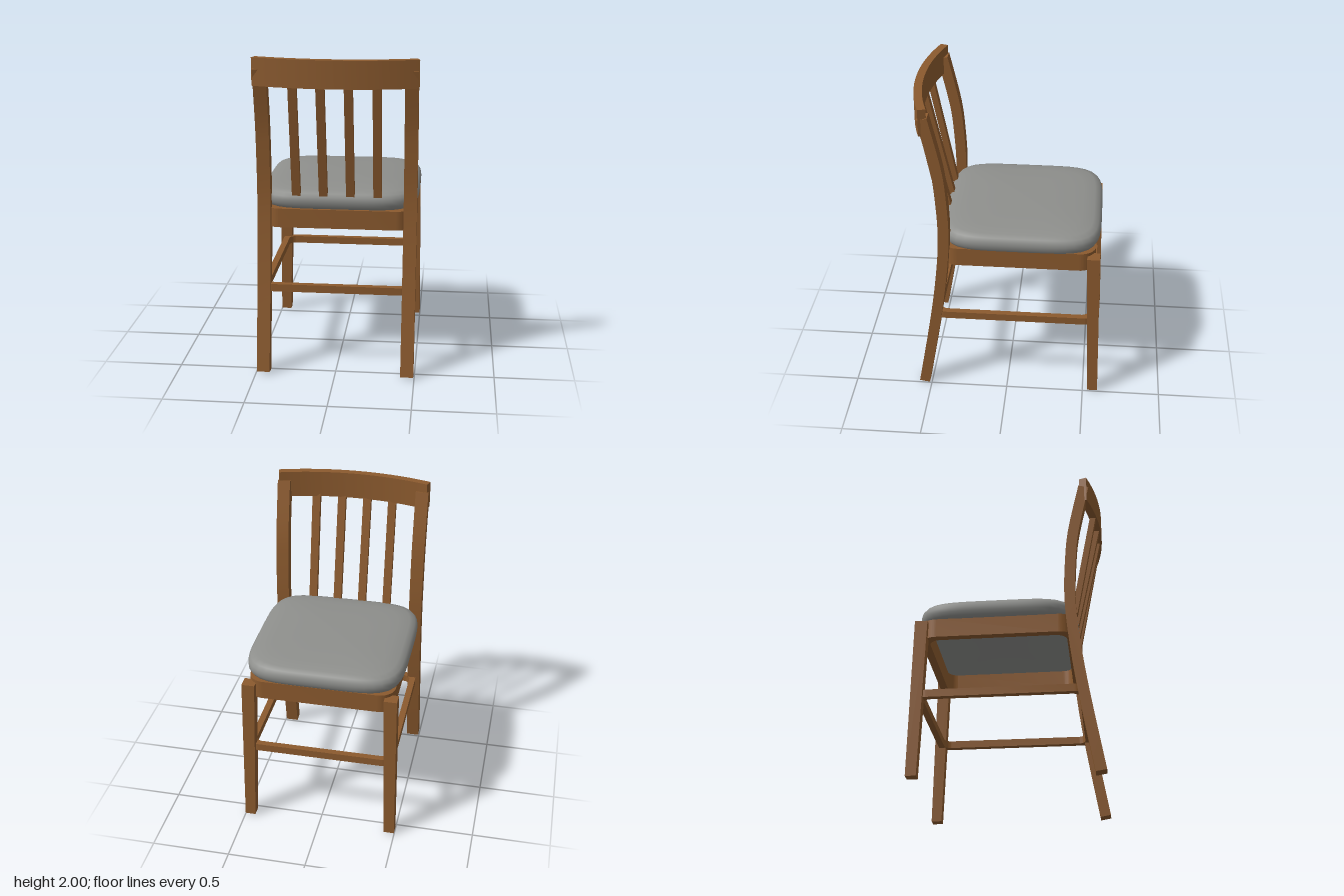
import * as THREE from 'three';
import { mergeVertices, toCreasedNormals } from 'three/addons/utils/BufferGeometryUtils.js';

const wood = new THREE.MeshStandardMaterial({ color: 0x8b5a2e });
wood.name = 'wood';
const fabric = new THREE.MeshStandardMaterial({ color: 0x8e8f8c });
fabric.name = 'greyFabric';

function add(group, name, geometry, material = wood) {
  const mesh = new THREE.Mesh(geometry, material);
  mesh.name = name;
  group.add(mesh);
  return mesh;
}

// Extrude an (x, z) plan between two heights
function plan(shape, y0, y1) {
  const g = new THREE.ExtrudeGeometry(shape, { depth: y1 - y0, bevelEnabled: false, curveSegments: 20 });
  g.rotateX(Math.PI / 2).translate(0, y1, 0);
  return toCreasedNormals(g, 0.5);
}

function roundedRect(path, hw, z0, z1, r) {
  path.absarc(hw - r, z1 - r, r, 0, Math.PI / 2);
  path.absarc(-hw + r, z1 - r, r, Math.PI / 2, Math.PI);
  path.absarc(-hw + r, z0 + r, r, Math.PI, Math.PI * 1.5);
  path.absarc(hw - r, z0 + r, r, Math.PI * 1.5, Math.PI * 2);
  path.closePath();
  return path;
}

// Hollow frame with rounded corners
function frame(hw, z0, z1, r, t, y0, y1) {
  const shape = roundedRect(new THREE.Shape(), hw, z0, z1, r);
  shape.holes.push(roundedRect(new THREE.Path(), hw - t, z0 + t, z1 - t, r - t * 0.6));
  return plan(shape, y0, y1);
}

// Box whose ends are placed separately; each end is [x0, x1, z0, z1, y]
function taperedPost(bottom, top) {
  const g = new THREE.BoxGeometry(1, 1, 1);
  const p = g.attributes.position;
  for (let i = 0; i < p.count; i++) {
    const e = p.getY(i) > 0 ? top : bottom;
    p.setXYZ(i, p.getX(i) > 0 ? e[1] : e[0], e[4], p.getZ(i) > 0 ? e[3] : e[2]);
  }
  g.computeVertexNormals();
  return g;
}

// Bowed leg: one edge curve offset by the leg's thickness
function backLegGeometry() {
  const edge = new THREE.SplineCurve([
    [0.514, 0], [0.42, 0.54], [0.372, 0.9], [0.355, 1.15],
    [0.364, 1.4], [0.388, 1.62], [0.46, 1.945],
  ].map(([z, y]) => new THREE.Vector2(z, y)));
  const front = [], back = [];
  for (let i = 0; i <= 28; i++) {
    const p = edge.getPoint(i / 28), t = edge.getTangent(i / 28);
    front.push(p);
    back.unshift(new THREE.Vector2(p.x + t.y * 0.067, p.y - t.x * 0.067));
  }
  const g = new THREE.ExtrudeGeometry(new THREE.Shape([...front, ...back]), { depth: 0.082, bevelEnabled: false });
  g.rotateY(-Math.PI / 2).translate(0.041, 0, 0);
  return toCreasedNormals(g, 0.5);
}

// Domed pad: a lathe squared off into a superellipse
function cushionGeometry() {
  const profile = [
    [0, 1.04], [0.93, 1.04], [0.97, 1.052], [0.995, 1.075], [1, 1.1], [0.993, 1.123],
    [0.965, 1.143], [0.9, 1.156], [0.75, 1.166], [0.5, 1.174], [0.25, 1.178], [0, 1.18],
  ].map(([r, y]) => new THREE.Vector2(r, y));
  let g = new THREE.LatheGeometry(profile, 72);
  const p = g.attributes.position;
  for (let i = 0; i < p.count; i++) {
    const x = p.getX(i), z = p.getZ(i), r = Math.hypot(x, z);
    const n = 5;
    const k = r < 1e-6 ? 0 : r / Math.pow(Math.abs(x) ** n + Math.abs(z) ** n, 1 / n);
    p.setXYZ(i, x * k * 0.5, p.getY(i), z * k * 0.502 - 0.077);
  }
  g.deleteAttribute('uv');
  g.deleteAttribute('normal');
  g = mergeVertices(g, 1e-4);
  g.computeVertexNormals();
  return toCreasedNormals(g, 0.8);
}

export function createModel() {
  const chair = new THREE.Group();
  chair.name = 'chair';

  // Seat
  add(chair, 'seatCushion', cushionGeometry(), fabric);
  add(chair, 'seatFrame', frame(0.46, -0.55, 0.41, 0.1, 0.05, 0.92, 1.041));
  add(chair, 'stretcherRing', frame(0.47, -0.56, 0.47, 0.07, 0.04, 0.515, 0.563));

  // Legs
  const backLeg = backLegGeometry();
  for (const s of [1, -1]) {
    const side = s > 0 ? 'left' : 'right';
    add(chair, side + 'BackLeg', backLeg).position.x = s * 0.454;
    const xs = (a, b) => (s > 0 ? [a, b] : [-b, -a]);
    add(chair, side + 'FrontLeg', taperedPost(
      [...xs(0.432, 0.499), -0.597, -0.532, 0.008],
      [...xs(0.406, 0.488), -0.577, -0.498, 1.02]));
  }

  // Curved top rail
  const cz = -1.008, R = 1.6, half = Math.asin(0.5 / R);
  const rail = new THREE.Shape();
  rail.absarc(0, cz, R, Math.PI / 2 - half, Math.PI / 2 + half, false);
  rail.absarc(0, cz, R - 0.05, Math.PI / 2 + half, Math.PI / 2 - half, true);
  rail.closePath();
  add(chair, 'topRail', plan(rail, 1.83, 2));

  // Back slats, leaning out to meet the rail's curve
  [-0.252, -0.084, 0.084, 0.252].forEach((x, i) => {
    const z = cz + Math.sqrt((R - 0.025) ** 2 - x * x);
    add(chair, 'backSlat' + (i + 1), taperedPost(
      [x - 0.026, x + 0.026, 0.387, 0.425, 1.132],
      [x - 0.026, x + 0.026, z - 0.019, z + 0.019, 1.86]));
  });

  return chair;
}
